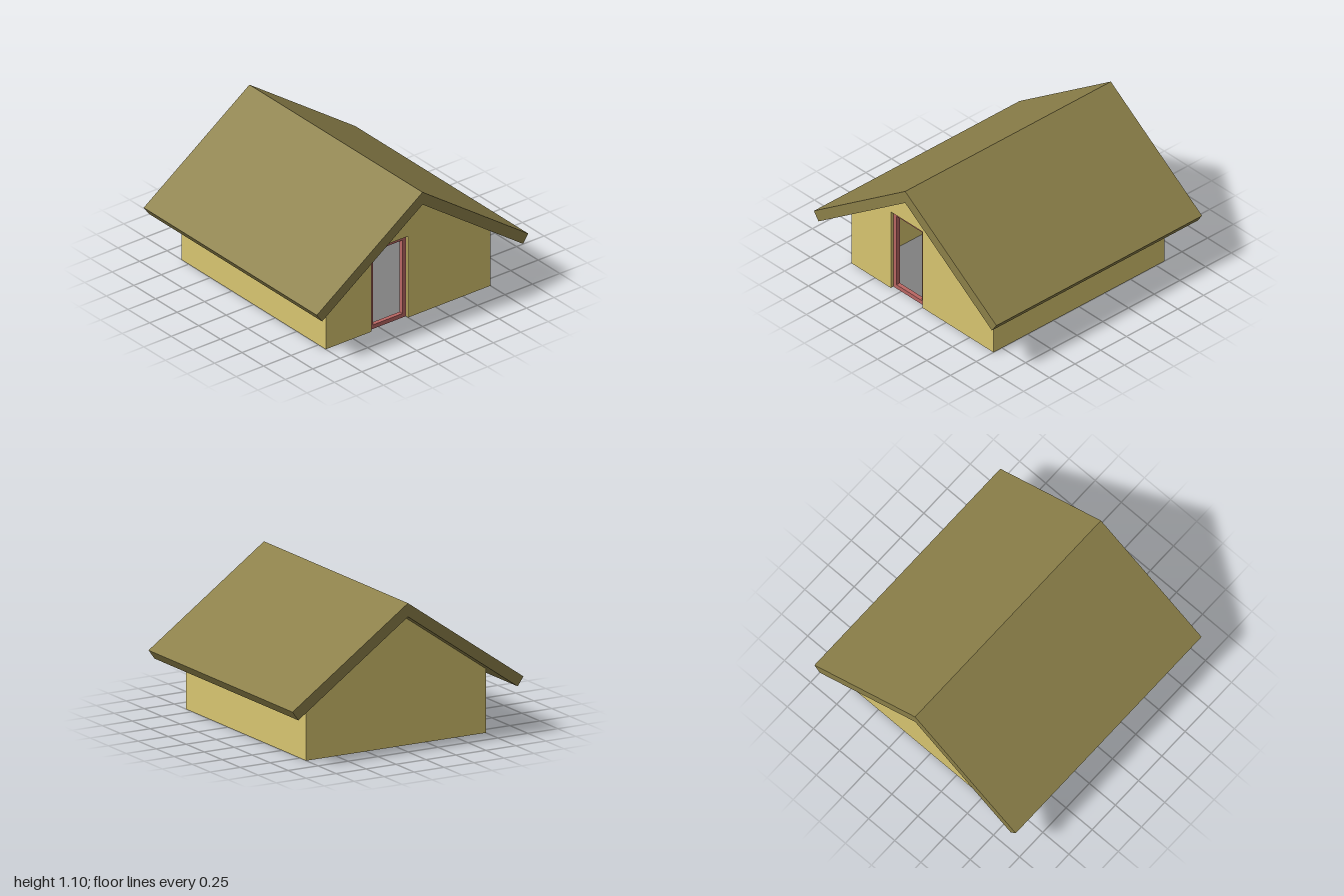
import * as THREE from 'three';

const HALF_W = 0.75, HALF_L = 0.833, WALL = 0.083; // house footprint and wall thickness
const APEX = 1, SLOPE = 0.7;                       // underside of the roof
const roofY = (x) => APEX - SLOPE * Math.abs(x);

const paint = (color, side = THREE.FrontSide) =>
  new THREE.MeshStandardMaterial({ color, side, flatShading: true });

const outline = (points) => points.map(([x, y]) => new THREE.Vector2(x, y));

// Extrudes an outline of [x, y] points from z0 to z1
function prism(name, points, z0, z1, material, hole) {
  const shape = new THREE.Shape(outline(points));
  if (hole) shape.holes.push(new THREE.Path(outline(hole)));
  const geometry = new THREE.ExtrudeGeometry(shape, { depth: z1 - z0, bevelEnabled: false });
  geometry.translate(0, 0, z0);
  const mesh = new THREE.Mesh(geometry, material);
  mesh.name = name;
  return mesh;
}

export function createModel() {
  const house = new THREE.Group();
  house.name = 'house';
  const wallPaint = paint(0xd8c570);
  const roofPaint = paint(0x8c8049);
  const framePaint = paint(0xb96663);
  const floorPaint = paint(0x808080, THREE.DoubleSide);

  const inner = HALF_W - WALL, innerZ = HALF_L - WALL;
  const eave = roofY(HALF_W);

  // Gable walls, the front one notched for the doorway
  const doorL = -0.333, doorR = 0, doorTop = 0.667;
  const gableTop = [[HALF_W, 0], [HALF_W, eave], [0, APEX], [-HALF_W, eave], [-HALF_W, 0]];
  const doorway = [[doorL, 0], [doorL, doorTop], [doorR, doorTop], [doorR, 0]];
  house.add(prism('frontWall', [...gableTop, ...doorway], innerZ, HALF_L, wallPaint));
  house.add(prism('backWall', gableTop, -HALF_L, -innerZ, wallPaint));

  // Side walls, tops cut to the roof pitch
  for (const [s, side] of [[1, 'left'], [-1, 'right']]) {
    house.add(prism(side + 'Wall', [
      [s * inner, 0], [s * HALF_W, 0], [s * HALF_W, eave], [s * inner, roofY(inner)],
    ], -innerZ, innerZ, wallPaint));
  }

  // Door frame set back within the doorway
  const f = 0.033;
  house.add(prism('doorFrame',
    [[doorL, 0], [doorR, 0], [doorR, doorTop], [doorL, doorTop]],
    HALF_L - 0.058, HALF_L - 0.025, framePaint,
    [[doorL + f, f], [doorL + f, doorTop - f], [doorR - f, doorTop - f], [doorR - f, f]]));

  // Two pitched roof slabs meeting at the ridge
  for (const [s, side] of [[1, 'left'], [-1, 'right']]) {
    house.add(prism(side + 'Roof', [
      [0, APEX], [s * 0.915, roofY(0.915)], [s * 0.963, 0.427], [0, 1.101],
    ], -1, 1, roofPaint));
  }

  // Thin floor sheet
  const floor = new THREE.Mesh(
    new THREE.PlaneGeometry(2 * inner, 2 * innerZ).rotateX(-Math.PI / 2), floorPaint);
  floor.name = 'floor';
  house.add(floor);

  return house;
}
